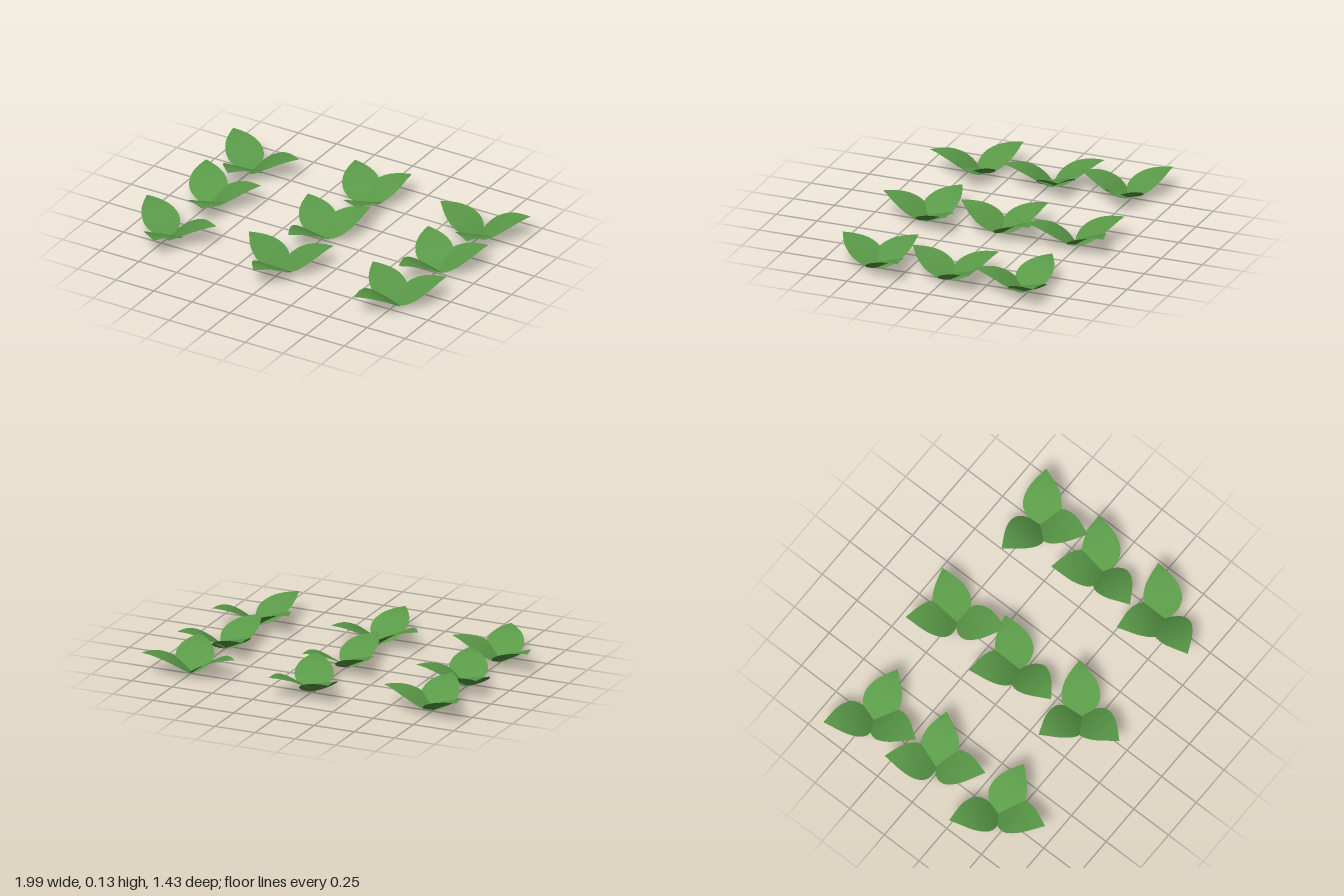
import * as THREE from 'three';

const LEAF_LENGTH = 0.29;
const LEAF_HEIGHT = 0.13;

// Half-width of a leaf along its length: (distance, half-width)
const OUTLINE = new THREE.SplineCurve([
  [0, 0.018], [0.05, 0.05], [0.12, 0.08], [0.24, 0.104], [0.38, 0.109],
  [0.55, 0.095], [0.7, 0.07], [0.85, 0.036], [1, 0],
].map(([t, w]) => new THREE.Vector2(t, w)));

// A pointed leaf along +x that rises from the ground and levels out at its tip
function leafGeometry() {
  const geometry = new THREE.PlaneGeometry(1, 1, 20, 4);
  const pos = geometry.attributes.position;
  for (let i = 0; i < pos.count; i++) {
    const p = OUTLINE.getPoint(pos.getX(i) + 0.5);
    const t = p.x;
    const rise = 1 - (1 - t) * (1 - t);
    pos.setXYZ(i, t * LEAF_LENGTH, rise * LEAF_HEIGHT, -pos.getY(i) * 2 * Math.max(p.y, 0));
  }
  geometry.computeVertexNormals();
  return geometry;
}

// Directions of the three leaves of each plant in degrees, row by row from the back
const PLANTS = [
  [[141, 11, -86], [132, 55, -68], [170, 32, -73]],
  [[125, 27, -68], [139, 55, -103], [132, 43, -109]],
  [[146, 9, -76], [162, 41, -94], [149, 46, -115]],
];

export function createModel() {
  const model = new THREE.Group();
  model.name = 'seedlingPatch';
  const green = new THREE.MeshStandardMaterial({ color: 0x5a9a48, side: THREE.DoubleSide });
  green.name = 'leafGreen';
  const geometry = leafGeometry();

  PLANTS.forEach((row, r) => row.forEach((angles, c) => {
    const plant = new THREE.Group();
    plant.name = `seedling${r * 3 + c + 1}`;
    plant.position.set((c - 1) * 0.75, 0, (r - 1) * 0.45 - 0.028);
    angles.forEach((angle, i) => {
      const leaf = new THREE.Mesh(geometry, green);
      leaf.name = `leaf${i + 1}`;
      leaf.rotation.y = THREE.MathUtils.degToRad(angle);
      plant.add(leaf);
    });
    model.add(plant);
  }));
  return model;
}
